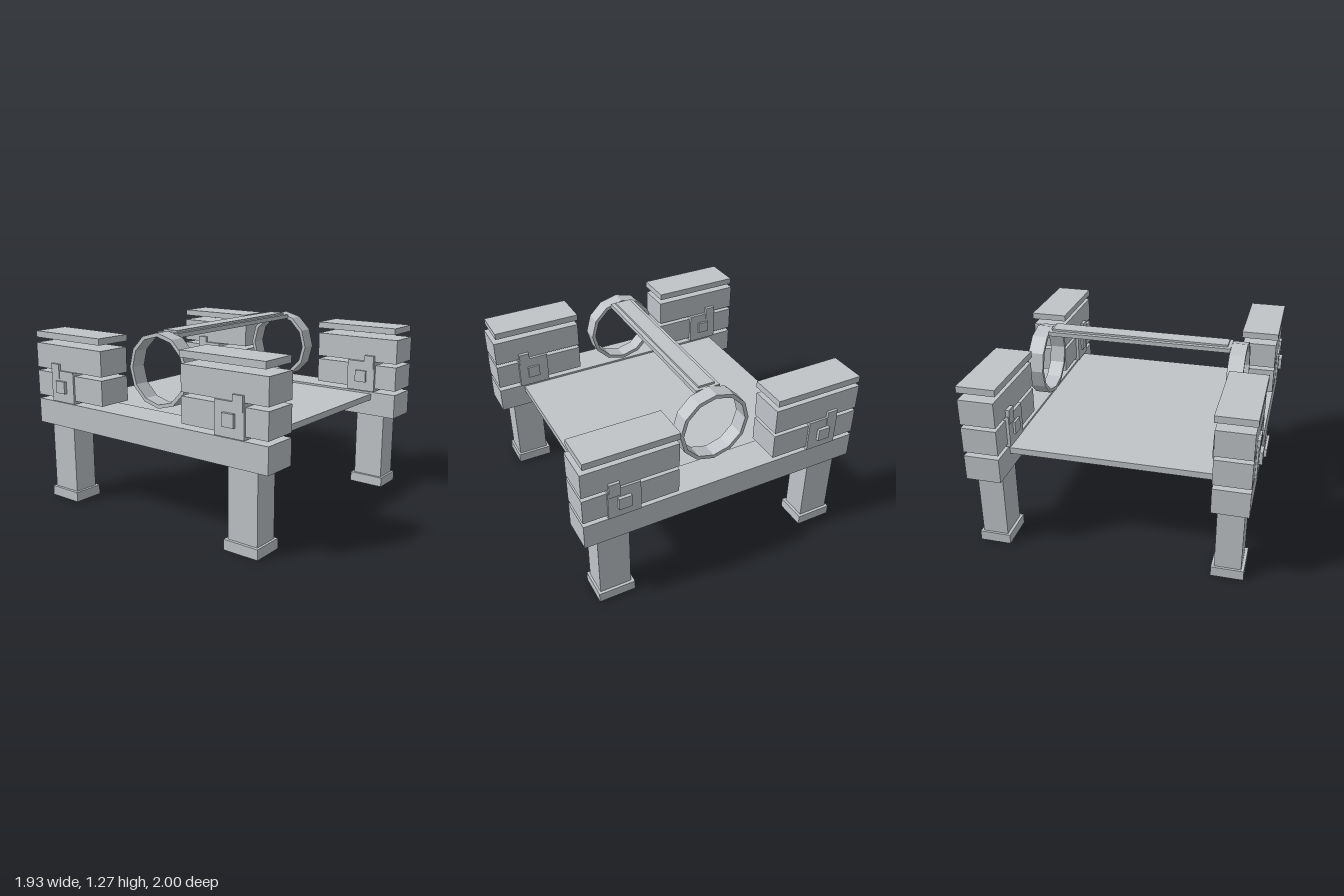
import * as THREE from 'three';

export function createModel() {
  const model = new THREE.Group();
  const grey = new THREE.MeshStandardMaterial({ color: 0xc0c4c8, flatShading: true });
  grey.name = 'pale grey';

  // Box from its extents on each axis
  function box(name, [x0, x1], [y0, y1], [z0, z1], parent = model) {
    const mesh = new THREE.Mesh(new THREE.BoxGeometry(x1 - x0, y1 - y0, z1 - z0), grey);
    mesh.position.set((x0 + x1) / 2, (y0 + y1) / 2, (z0 + z1) / 2);
    mesh.name = name;
    parent.add(mesh);
    return mesh;
  }
  // Extents mirrored to the given side
  const flip = (s, a, b) => (s > 0 ? [a, b] : [-b, -a]);

  // Thin floor between the side rails
  box('deck', [-0.7, 0.7], [0.667, 0.711], [-0.81, 0.81]);

  // Twelve-sided hoop, its axis along x
  const hoopProfile = [[0.252, -0.055], [0.252, 0.055], [0.226, 0.055], [0.226, -0.055], [0.252, -0.055]]
    .map(([r, h]) => new THREE.Vector2(r, h));
  const hoopGeometry = new THREE.LatheGeometry(hoopProfile, 12);
  hoopGeometry.rotateZ(Math.PI / 2);

  for (const sx of [1, -1]) {
    const side = sx > 0 ? 'left' : 'right';
    box(side + 'Rail', flip(sx, 0.69, 0.93), [0.55, 0.725], [-1, 1]);

    const hoop = new THREE.Mesh(hoopGeometry, grey);
    hoop.name = side + 'Hoop';
    hoop.position.set(sx * 0.703, 1.013, 0);
    model.add(hoop);

    for (const sz of [1, -1]) {
      const corner = new THREE.Group();
      corner.name = side + (sz > 0 ? 'Front' : 'Back') + 'Corner';
      model.add(corner);
      const part = (name, x, y, z) => box(name, flip(sx, ...x), y, flip(sz, ...z), corner);

      // Leg and foot
      part('leg', [0.72, 0.897], [0.03, 0.56], [0.686, 0.906]);
      part('foot', [0.7, 0.917], [0, 0.07], [0.665, 0.922]);

      // Stacked blocks with open gaps and a cap
      part('lowerBlock', [0.69, 0.93], [0.755, 0.93], [0.35, 1]);
      part('upperBlock', [0.69, 0.93], [0.955, 1.13], [0.35, 1]);
      part('cap', [0.68, 0.94], [1.17, 1.215], [0.35, 0.983]);

      // Clasp running through the blocks
      part('claspPlate', [0.67, 0.943], [0.733, 0.954], [0.618, 0.838]);
      part('claspTab', [0.665, 0.948], [0.9, 1.0], [0.756, 0.83]);
      part('claspStud', [0.655, 0.965], [0.8, 0.885], [0.688, 0.774]);
    }
  }

  // Bar joining the hoops, with a raised strip
  box('crossBar', [-0.65, 0.65], [1.226, 1.256], [-0.088, 0.088]);
  box('crossBarStrip', [-0.628, 0.628], [1.25, 1.27], [-0.058, 0.058]);

  return model;
}
